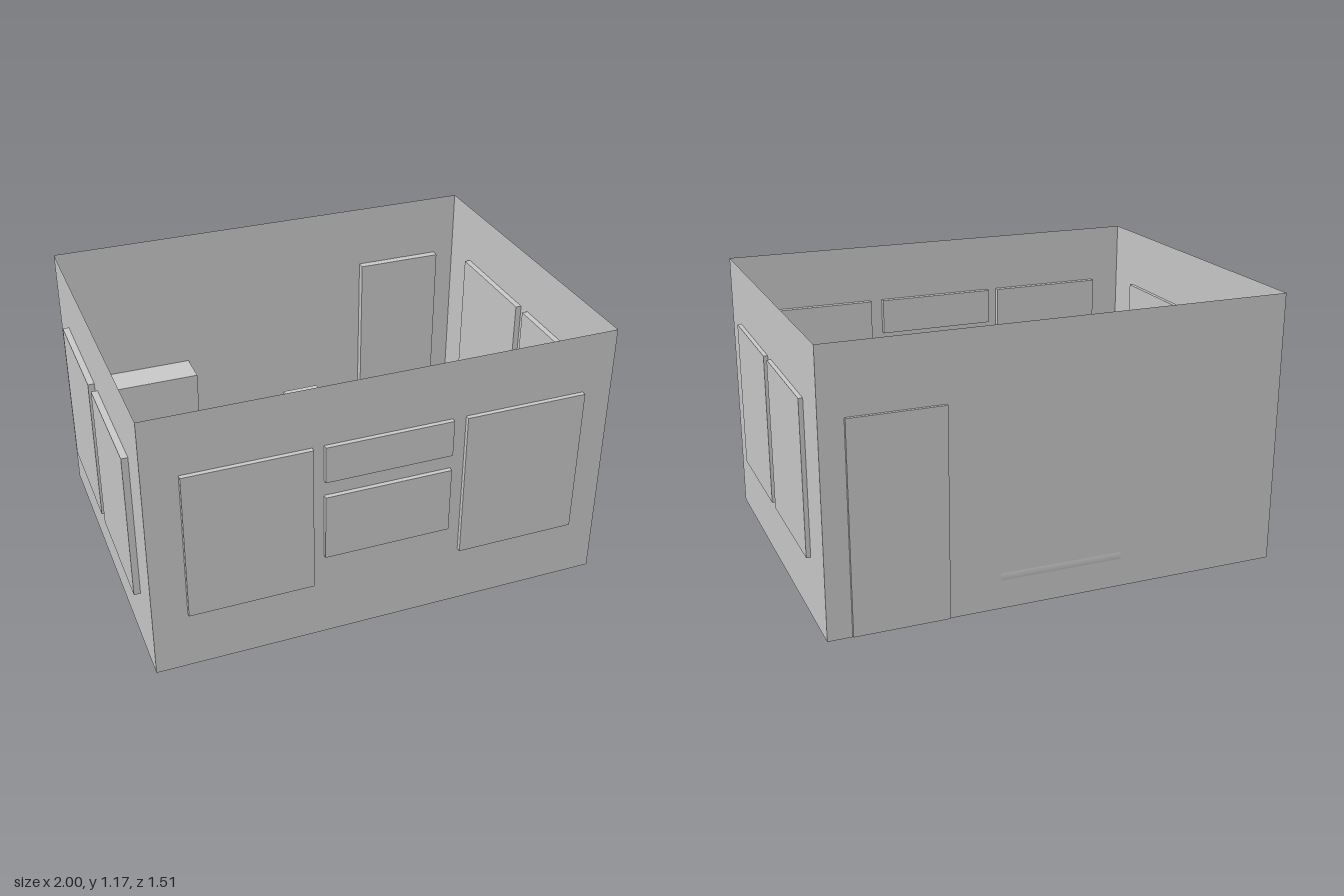
import * as THREE from 'three';

const material = new THREE.MeshStandardMaterial({ color: 0xcccccc, flatShading: true });
const thin = new THREE.MeshStandardMaterial({ color: 0xcccccc, side: THREE.DoubleSide });
const smooth = new THREE.MeshStandardMaterial({ color: 0xcccccc });

// Box given by its minimum and maximum on each axis
function block(name, [x0, x1], [y0, y1], [z0, z1]) {
  const mesh = new THREE.Mesh(new THREE.BoxGeometry(x1 - x0, y1 - y0, z1 - z0), material);
  mesh.position.set((x0 + x1) / 2, (y0 + y1) / 2, (z0 + z1) / 2);
  mesh.name = name;
  return mesh;
}

// Paper-thin sheet, visible from both sides
function sheet(name, width, height, position, rx = 0, ry = 0) {
  const mesh = new THREE.Mesh(new THREE.PlaneGeometry(width, height), thin);
  mesh.position.set(...position);
  mesh.rotation.set(rx, ry, 0);
  mesh.name = name;
  return mesh;
}

export function createModel() {
  const room = new THREE.Group();
  room.name = 'room';

  // Open-topped shell
  const L = -0.973, R = 0.982, B = -0.745, F = 0.735, H = 1.175;
  const cx = (L + R) / 2, cz = (B + F) / 2, w = R - L, d = F - B;
  room.add(
    sheet('floor', w, d, [cx, 0, cz], -Math.PI / 2),
    sheet('frontWall', w, H, [cx, H / 2, F]),
    sheet('backWall', w, H, [cx, H / 2, B], 0, Math.PI),
    sheet('rightWall', d, H, [L, H / 2, cz], 0, -Math.PI / 2),
    sheet('leftWall', d, H, [R, H / 2, cz], 0, Math.PI / 2),
  );

  // Windows standing proud on both sides of the walls
  const tall = [0.265, 0.915];
  for (const z of [[-0.545, -0.025], [0.033, 0.553]]) {
    room.add(block('rightWindow', [-1, -0.956], tall, z));
    room.add(block('leftWindow', [0.956, 1], tall, z));
  }
  const front = [0.71, 0.755];
  for (const x of [[-0.83, -0.31], [0.333, 0.853]]) room.add(block('frontWindow', x, tall, front));
  room.add(block('upperMiddleWindow', [-0.262, 0.275], [0.755, 0.915], front));
  room.add(block('lowerMiddleWindow', [-0.262, 0.275], [0.395, 0.685], front));

  // Door in the back wall
  room.add(block('door', [0.487, 0.882], [0.005, 0.89], [-0.758, -0.71]));

  // Stepped cabinet against the back wall
  const cabinet = new THREE.Group();
  cabinet.name = 'cabinet';
  cabinet.add(block('cabinetBody', [-0.828, -0.395], [0, 0.53], [-0.74, -0.59]));
  cabinet.add(block('cabinetLedge', [-0.828, -0.395], [0, 0.3], [-0.59, -0.52]));
  room.add(cabinet);

  // Lying barrel with a small box on top
  const barrel = new THREE.Mesh(new THREE.CylinderGeometry(0.136, 0.136, 0.53, 48), smooth);
  barrel.rotation.z = Math.PI / 2;
  barrel.position.set(0.005, 0.138, -0.61);
  barrel.name = 'barrel';
  room.add(barrel, block('barrelBox', [0.06, 0.235], [0.2, 0.3], [-0.67, -0.535]));

  // Flat U-shaped floor mat, notch towards the back
  const outline = [[-0.33, -0.262], [0.275, -0.262], [0.275, 0.168], [0.155, 0.168],
    [0.155, 0.035], [-0.212, 0.035], [-0.212, 0.168], [-0.33, 0.168]];
  const shape = new THREE.Shape(outline.map(([x, y]) => new THREE.Vector2(x, y)));
  const mat = new THREE.Mesh(new THREE.ExtrudeGeometry(shape, { depth: 0.004, bevelEnabled: false }), material);
  mat.rotation.x = -Math.PI / 2;
  mat.name = 'floorMat';
  room.add(mat);

  return room;
}
